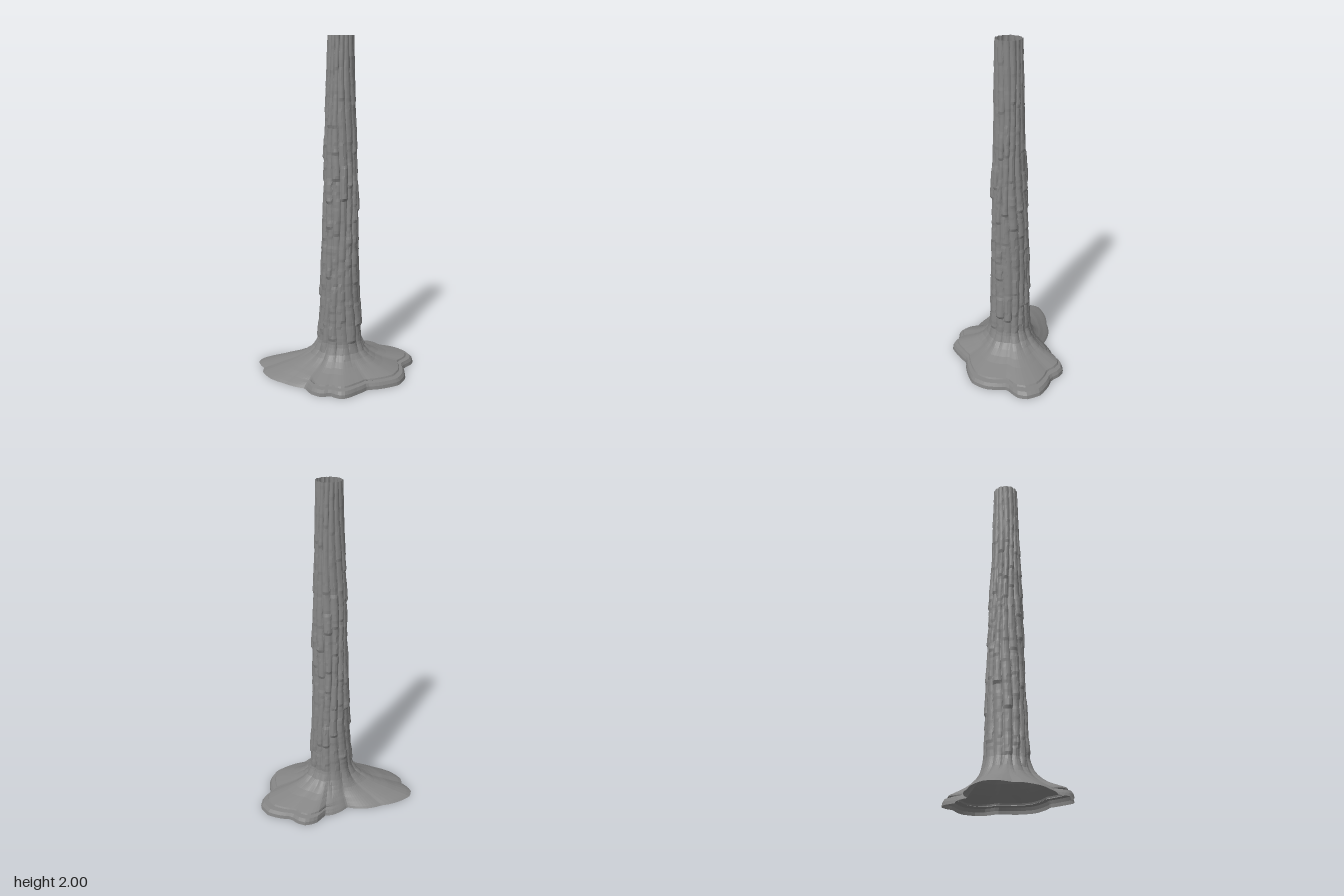
import * as THREE from 'three';

const CX = 0.057, CZ = 0.012;   // trunk axis
const SEG = 112;                // steps around
const LOBES = 14;               // bark columns

// spreading foot outline on the ground (x, z)
const FOOT = [
  [-0.465, 0.06], [-0.455, 0.01], [-0.37, -0.07], [-0.29, -0.11], [-0.08, -0.165], [0, -0.255],
  [0.045, -0.27], [0.08, -0.345], [0.14, -0.38], [0.19, -0.37], [0.24, -0.338], [0.3, -0.342],
  [0.39, -0.325], [0.455, -0.26], [0.46, -0.205], [0.42, -0.125], [0.465, 0], [0.45, 0.09],
  [0.39, 0.15], [0.29, 0.21], [0.25, 0.28], [0.2, 0.35], [0.17, 0.365], [0.11, 0.35],
  [0.06, 0.378], [0, 0.365], [-0.06, 0.31], [-0.2, 0.29], [-0.3, 0.26], [-0.38, 0.195],
  [-0.395, 0.14], [-0.44, 0.105],
].map(([x, z]) => ({ a: Math.atan2(z - CZ, x - CX), r: Math.hypot(x - CX, z - CZ) }))
  .sort((p, q) => p.a - q.a);

// flare: height, share of the foot spread on smooth sides, share and height on ledged sides
const FLARE = [
  [0, 1, 1, 0], [0.012, 0.93, 0.985, 0.02], [0.025, 0.83, 0.94, 0.038], [0.035, 0.75, 0.8, 0.042],
  [0.045, 0.68, 0.86, 0.048], [0.055, 0.61, 0.84, 0.057], [0.068, 0.5, 0.68, 0.07],
  [0.085, 0.38, 0.48, 0.086], [0.105, 0.26, 0.31, 0.105], [0.13, 0.15, 0.17, 0.13],
  [0.16, 0.07, 0.07, 0.16], [0.2, 0.015, 0.015, 0.2],
];

const hash = (a, b) => {
  const s = Math.sin(a * 127.1 + b * 311.7 + 7.3) * 43758.5453;
  return s - Math.floor(s);
};

function footRadius(angle) {
  const n = FOOT.length;
  for (let i = 0; i < n; i++) {
    const p = FOOT[i], q = FOOT[(i + 1) % n];
    const end = i === n - 1 ? q.a + Math.PI * 2 : q.a;
    const a = angle < FOOT[0].a ? angle + Math.PI * 2 : angle;
    if (a >= p.a && a <= end) return THREE.MathUtils.lerp(p.r, q.r, (a - p.a) / (end - p.a));
  }
  return FOOT[0].r;
}

function trunkRadius(y) {
  return y < 0.4 ? 0.136 - y * 0.055 : 0.114 - (y - 0.4) * 0.0275;
}

// rounded bark columns broken into plates of uneven length
function bark(angle, y) {
  const u = (angle / (Math.PI * 2) + 0.5) * LOBES + 0.22 * Math.sin(y * 5 + angle * 2);
  const cell = Math.floor(u), lobe = ((cell % LOBES) + LOBES) % LOBES;
  const scallop = Math.sqrt(Math.max(0, Math.sin((u - cell) * Math.PI)));
  const v = y * (5 + 4 * hash(lobe, 3)) + hash(lobe, 1) * 9;
  const plate = Math.floor(v), t = v - plate;
  const bulge = hash(lobe, plate) * (1 - 0.55 * t);
  const fine = hash(Math.floor(u * 2), Math.floor(y * 22)) - 0.5;
  const rough = THREE.MathUtils.smoothstep(2 - y, 0, 0.9) * 0.8 + 0.2;
  return 0.009 * scallop - 0.005 + rough * (0.015 * bulge * scallop + 0.004 * fine);
}

function buildBark() {
  // list of rows: flare first, then the tall shaft
  const rows = FLARE.map(([y, f, lf, ly]) => ({ y, f, lf, ly }));
  const shaftRows = 96;
  for (let i = 1; i <= shaftRows; i++) {
    const y = 0.2 + 1.8 * i / shaftRows;
    rows.push({ y, f: 0, lf: 0, ly: y });
  }
  const pos = [], index = [];
  for (const row of rows) {
    for (let s = 0; s < SEG; s++) {
      const a = s / SEG * Math.PI * 2 - Math.PI;
      // ledges run round the front, left and back, not the long right-hand toe
      const ledge = THREE.MathUtils.smoothstep(Math.cos(a - 0.1), -0.5, 0.1);
      const f = THREE.MathUtils.lerp(row.f, row.lf, ledge);
      const y = THREE.MathUtils.lerp(row.y, row.ly, ledge);
      const base = trunkRadius(y);
      const r = base + (footRadius(a) - base) * f + bark(a, y) * (1 - Math.min(1, f * 1.8));
      pos.push(CX + Math.cos(a) * r, y, CZ + Math.sin(a) * r);
    }
  }
  for (let j = 0; j < rows.length - 1; j++) {
    for (let s = 0; s < SEG; s++) {
      const n = (s + 1) % SEG;
      const a = j * SEG + s, b = j * SEG + n, c = a + SEG, d = b + SEG;
      index.push(a, c, b, b, c, d);
    }
  }
  const geo = new THREE.BufferGeometry();
  geo.setAttribute('position', new THREE.Float32BufferAttribute(pos, 3));
  geo.setIndex(index);
  const flat = geo.toNonIndexed();
  flat.computeVertexNormals();
  return flat;
}

export function createModel() {
  const group = new THREE.Group();
  group.name = 'hollowTrunk';
  const stone = new THREE.MeshStandardMaterial({
    color: 0x858585, flatShading: true, side: THREE.DoubleSide,
  });
  stone.name = 'grey bark';

  // open shaft and spreading foot in one skin
  const trunk = new THREE.Mesh(buildBark(), stone);
  trunk.name = 'trunkAndFoot';
  group.add(trunk);
  return group;
}
